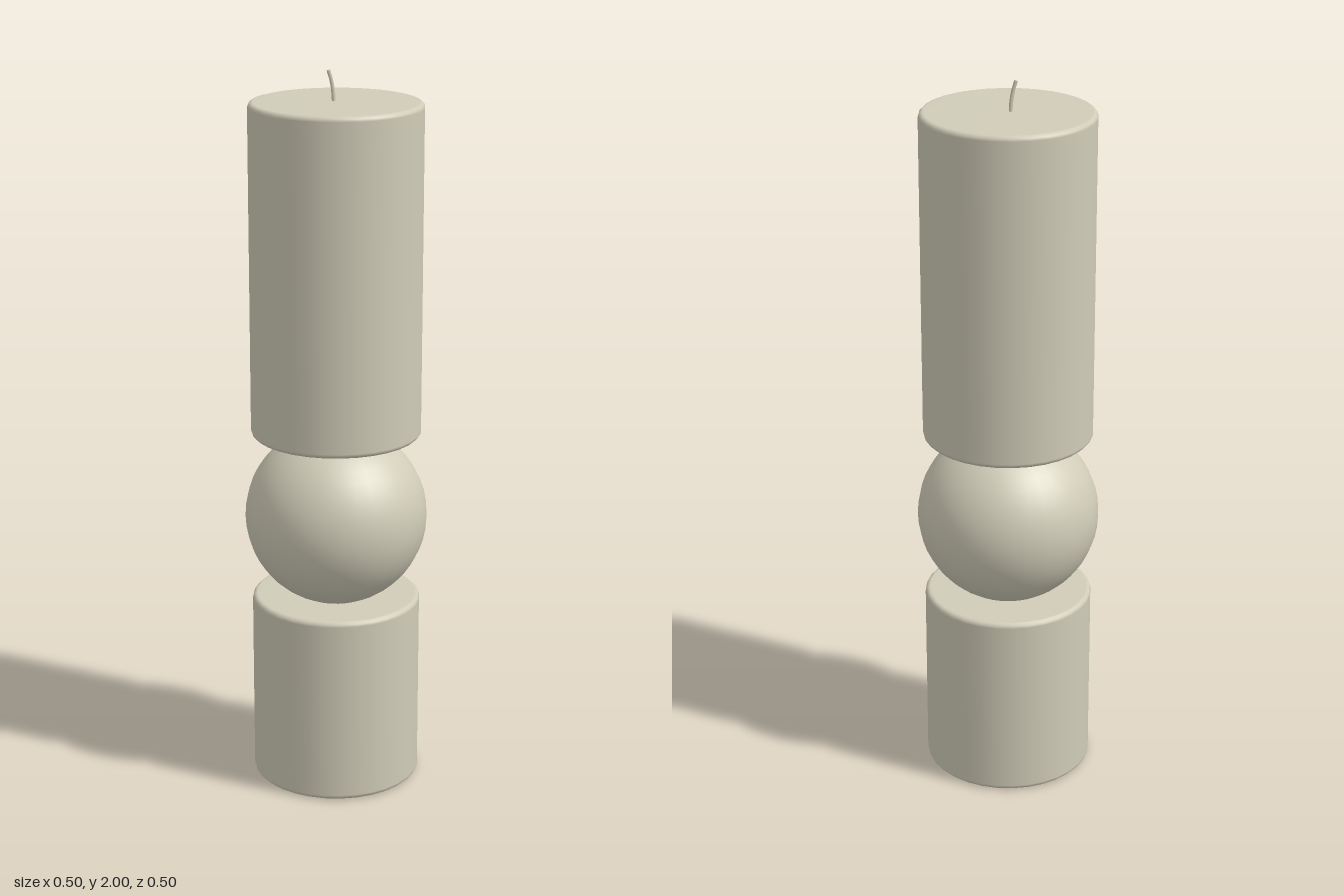
import * as THREE from 'three';

const wax = new THREE.MeshStandardMaterial({ color: 0xd0ccb8 });

function addPart(group, name, geometry) {
  const mesh = new THREE.Mesh(geometry, wax);
  mesh.name = name;
  group.add(mesh);
  return mesh;
}

// Closed cylinder with small rounded rims, turned from its half section
function roundedCylinder(radius, bottom, top, bevel) {
  const points = [new THREE.Vector2(0, bottom)];
  const arc = (cy, start) => {
    for (let i = 0; i <= 3; i++) {
      const a = start + (i / 3) * Math.PI / 2;
      points.push(new THREE.Vector2(radius - bevel + bevel * Math.cos(a), cy + bevel * Math.sin(a)));
    }
  };
  arc(bottom + bevel, -Math.PI / 2);
  arc(top - bevel, 0);
  points.push(new THREE.Vector2(0, top));
  return new THREE.LatheGeometry(points, 32);
}

export function createModel() {
  const group = new THREE.Group();
  group.name = 'pillarCandle';

  // Stacked wax body: short pillar, ball, tall pillar
  addPart(group, 'lowerPillar', roundedCylinder(0.234, 0, 0.535, 0.014));
  addPart(group, 'ball', new THREE.SphereGeometry(0.252, 32, 24)).position.y = 0.768;
  addPart(group, 'upperPillar', roundedCylinder(0.234, 1.003, 1.917, 0.014));

  // Thin wick leaning to one side, with a closed tip
  const path = new THREE.CatmullRomCurve3([
    new THREE.Vector3(-0.006, 1.9, -0.006),
    new THREE.Vector3(-0.007, 1.935, -0.006),
    new THREE.Vector3(-0.012, 1.97, -0.006),
    new THREE.Vector3(-0.02, 1.998, -0.006),
  ]);
  addPart(group, 'wick', new THREE.TubeGeometry(path, 10, 0.005, 8));
  const tip = addPart(group, 'wickTip', new THREE.CircleGeometry(0.005, 8));
  tip.position.copy(path.getPoint(1));
  tip.quaternion.setFromUnitVectors(new THREE.Vector3(0, 0, 1), path.getTangent(1));

  return group;
}
